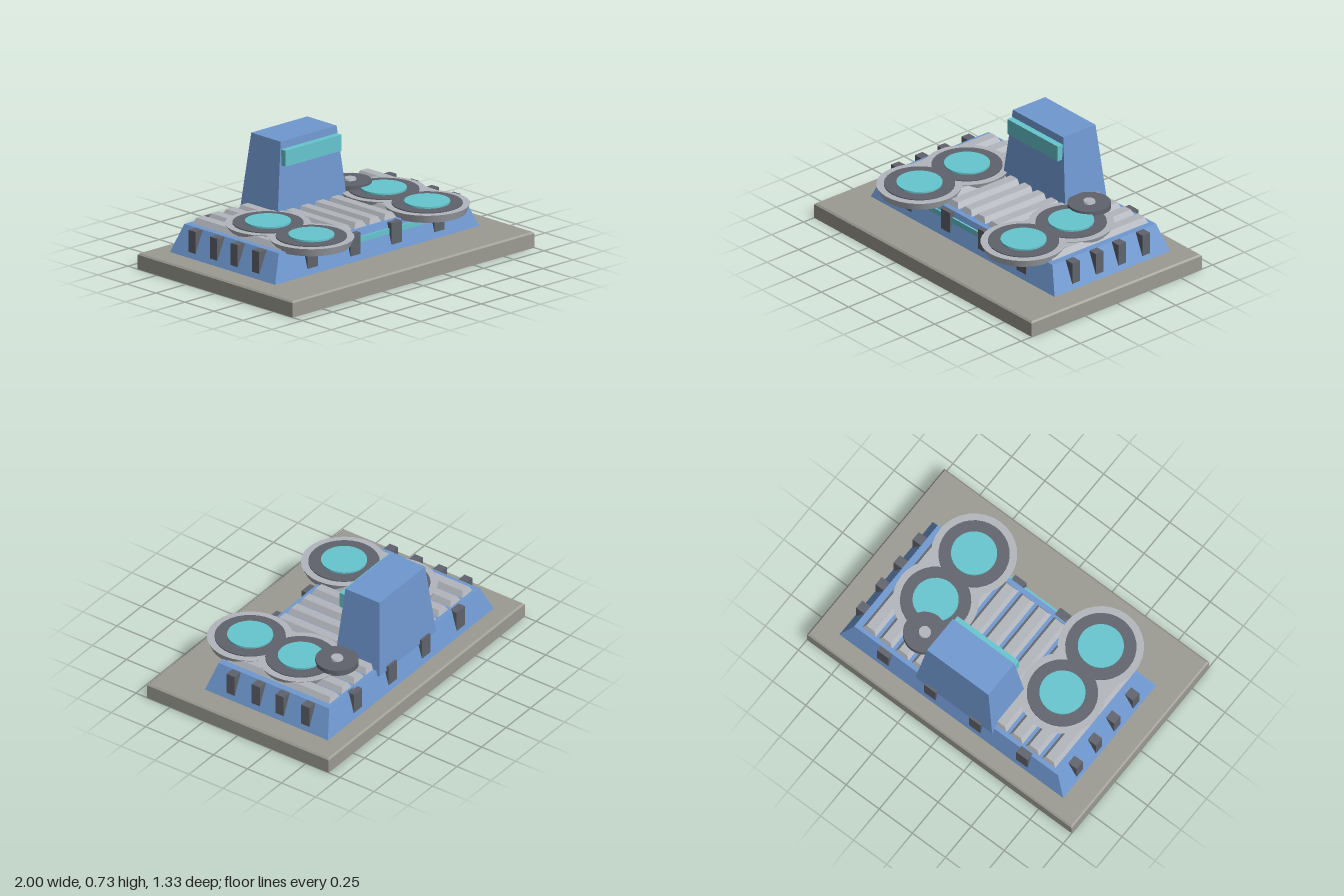
import * as THREE from 'three';

const paint = (name, color) => {
  const m = new THREE.MeshStandardMaterial({ color });
  m.name = name;
  return m;
};

export function createModel() {
  const model = new THREE.Group();
  model.name = 'bunker';

  const blue = paint('blue armour', 0x6f98d0);
  const teal = paint('teal glow', 0x66c6cf);
  const dark = paint('dark metal', 0x5f636c);
  const light = paint('light metal', 0xb2b6bc);
  const stone = paint('stone', 0x9c9b92);

  const add = (name, geometry, material, parent = model) => {
    const mesh = new THREE.Mesh(geometry, material);
    mesh.name = name;
    parent.add(mesh);
    return mesh;
  };

  // Block with different bottom and top rectangles: [x0, x1, z0, z1]
  const taper = (bottom, top, y0, y1) => {
    const g = new THREE.BoxGeometry(1, 1, 1);
    const p = g.attributes.position;
    for (let i = 0; i < p.count; i++) {
      const up = p.getY(i) > 0;
      const r = up ? top : bottom;
      p.setXYZ(i, p.getX(i) > 0 ? r[1] : r[0], up ? y1 : y0, p.getZ(i) > 0 ? r[3] : r[2]);
    }
    g.computeVertexNormals();
    return g;
  };
  const block = (x0, x1, y0, y1, z0, z1) => taper([x0, x1, z0, z1], [x0, x1, z0, z1], y0, y1);

  const disc = (rTop, rBottom, x, y0, y1, z) =>
    new THREE.CylinderGeometry(rTop, rBottom, y1 - y0, 32).translate(x, (y0 + y1) / 2, z);

  // Foundation slab with a bevelled top edge
  const slab = [-1, 1, -0.667, 0.667];
  add('foundation', block(-1, 1, 0, 0.09, -0.667, 0.667), stone);
  add('foundationBevel', taper(slab, [-0.99, 0.99, -0.657, 0.657], 0.09, 0.1), stone);

  // Sloped hull
  add('hull', taper([-0.845, 0.845, -0.55, 0.355], [-0.77, 0.77, -0.504, 0.308], 0.1, 0.27), blue);

  // Roof ribs
  const ribs = new THREE.Group();
  ribs.name = 'roofRibs';
  model.add(ribs);
  for (let i = 0; i < 12; i++) {
    const x = (i - 5.5) * 0.1232;
    add('rib', taper([x - 0.054, x + 0.054, -0.48, 0.277],
      [x - 0.03, x + 0.03, -0.465, 0.262], 0.265, 0.304), light, ribs);
  }

  // Buttresses around the hull
  const buttresses = new THREE.Group();
  buttresses.name = 'buttresses';
  model.add(buttresses);
  for (const x of [-0.525, -0.17, 0.17, 0.525]) {
    add('frontButtress', block(x - 0.043, x + 0.043, 0.135, 0.27, 0.29, 0.345), dark, buttresses);
    add('backButtress', block(x - 0.043, x + 0.043, 0.135, 0.27, -0.54, -0.49), dark, buttresses);
  }
  for (const z of [-0.374, -0.186, -0.01, 0.175]) {
    for (const s of [-1, 1]) {
      const x = s * 0.797;
      add('sideButtress', block(x - 0.036, x + 0.036, 0.132, 0.269, z - 0.03, z + 0.03), dark, buttresses);
    }
  }

  // Glowing slit along the front
  add('frontSlit', block(-0.485, 0.485, 0.2, 0.235, 0.29, 0.33), teal);

  // Paired round pads on each side
  for (const x of [-0.479, 0.479]) {
    for (const z of [-0.087, 0.286]) {
      const pad = new THREE.Group();
      pad.name = 'roundPad';
      model.add(pad);
      add('padRim', disc(0.258, 0.236, x, 0.257, 0.308, z), light, pad);
      add('padRing', disc(0.213, 0.213, x, 0.3, 0.314, z), dark, pad);
      add('padLight', disc(0.138, 0.138, x, 0.305, 0.325, z), teal, pad);
    }
  }

  // Command tower with its window band
  add('tower', taper([-0.29, 0.29, -0.527, -0.202], [-0.232, 0.232, -0.488, -0.236], 0.24, 0.727), blue);
  add('towerWindow', block(-0.232, 0.232, 0.58, 0.68, -0.27, -0.192), teal);

  // Small roof hatch beside the tower
  add('hatch', disc(0.13, 0.13, 0.4, 0.303, 0.34, -0.295), dark);
  add('hatchHub', disc(0.035, 0.04, 0.4, 0.335, 0.352, -0.295), light);

  return model;
}
